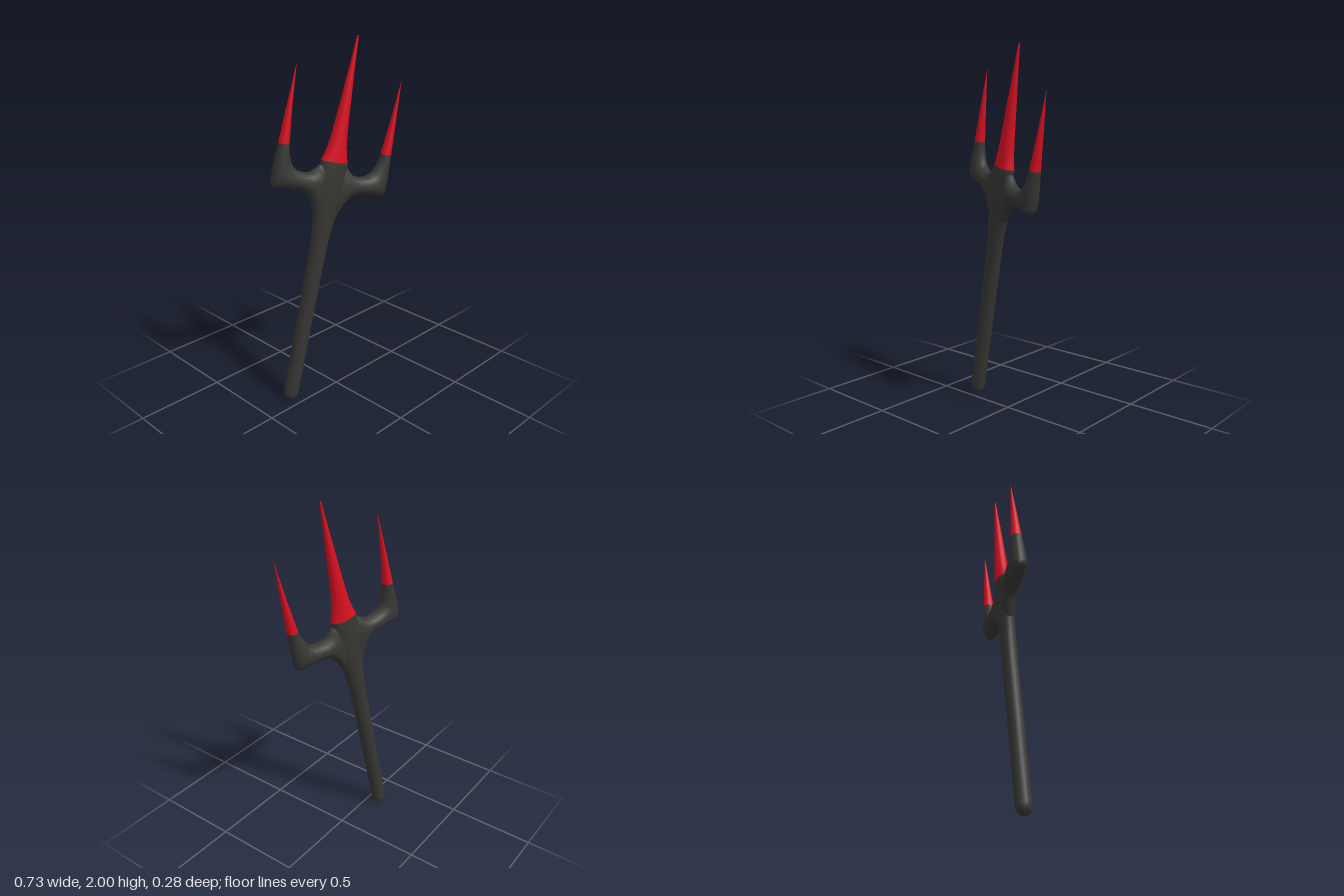
import * as THREE from 'three';

const SIDES = 14;
const dark = new THREE.MeshStandardMaterial({ color: 0x363633 });
const red = new THREE.MeshStandardMaterial({ color: 0xd81020 });

// Skin of elliptical rings; each section is [ax, ay, bx, by, halfDepth],
// where a and b are the two opposite edge points in the plane of the fork.
function loft(name, sections, material) {
  const pos = [], index = [];
  for (const [ax, ay, bx, by, d] of sections) {
    for (let j = 0; j < SIDES; j++) {
      const f = (j / SIDES) * Math.PI * 2, c = Math.cos(f) / 2;
      pos.push((ax + bx) / 2 + (ax - bx) * c, (ay + by) / 2 + (ay - by) * c, d * Math.sin(f));
    }
  }
  for (let i = 0; i < sections.length - 1; i++) {
    for (let j = 0; j < SIDES; j++) {
      const p = i * SIDES + j, q = i * SIDES + (j + 1) % SIDES;
      index.push(p, p + SIDES, q, q, p + SIDES, q + SIDES);
    }
  }
  const geo = new THREE.BufferGeometry();
  geo.setAttribute('position', new THREE.Float32BufferAttribute(pos, 3));
  geo.setIndex(index);
  geo.computeVertexNormals();
  const mesh = new THREE.Mesh(geo, material);
  mesh.name = name;
  return mesh;
}

// Sections centred on the main axis: [height, halfWidth, halfDepth]
const axial = (list) => list.map(([y, r, d]) => [r, y, -r, y, d]);
// Mirrored sections, with the edges swapped to keep the faces outward
const mirror = (list) => list.map(([ax, ay, bx, by, d]) => [-bx, by, -ax, ay, d]);

export function createModel() {
  const model = new THREE.Group();
  model.name = 'trident';

  // Handle with rounded butt, flaring into the hub
  model.add(loft('handle', axial([
    [0, 0.0005, 0.0005], [0.004, 0.018, 0.018], [0.015, 0.031, 0.031], [0.03, 0.039, 0.039],
    [0.05, 0.042, 0.042], [0.45, 0.043, 0.042], [0.85, 0.046, 0.043], [0.98, 0.051, 0.044],
    [1.08, 0.064, 0.046], [1.15, 0.08, 0.048], [1.22, 0.088, 0.05], [1.3, 0.088, 0.05],
    [1.35, 0.085, 0.048], [1.395, 0.077, 0.045],
  ]), dark));

  // Central spike
  model.add(loft('centreSpike', axial([
    [1.395, 0.077, 0.045], [1.43, 0.064, 0.043], [1.48, 0.052, 0.04], [1.55, 0.042, 0.036],
    [1.64, 0.034, 0.031], [1.76, 0.025, 0.024], [1.9, 0.014, 0.014], [2.04, 0.005, 0.005],
    [2.049, 0.0005, 0.0005],
  ]), red));

  // Side arm: out from the hub, around the elbow and up
  const arm = [
    [0.03, 1.06, 0.03, 1.395, 0.04], [0.07, 1.1, 0.07, 1.385, 0.045],
    [0.095, 1.162, 0.095, 1.355, 0.049], [0.125, 1.202, 0.125, 1.328, 0.051],
    [0.165, 1.224, 0.16, 1.321, 0.052], [0.25, 1.231, 0.205, 1.328, 0.052],
    [0.31, 1.228, 0.235, 1.351, 0.05], [0.333, 1.236, 0.247, 1.372, 0.048],
    [0.341, 1.262, 0.256, 1.392, 0.045], [0.34, 1.33, 0.266, 1.418, 0.04],
    [0.337, 1.4, 0.271, 1.44, 0.035], [0.333, 1.46, 0.275, 1.46, 0.031],
  ];
  // Side spike
  const spike = [
    [0.333, 1.46, 0.275, 1.46, 0.031], [0.328, 1.55, 0.284, 1.55, 0.024],
    [0.322, 1.65, 0.293, 1.65, 0.017], [0.315, 1.76, 0.301, 1.76, 0.009],
    [0.3085, 1.866, 0.3075, 1.866, 0.0005],
  ];
  model.add(loft('leftArm', arm, dark), loft('rightArm', mirror(arm), dark));
  model.add(loft('leftSpike', spike, red), loft('rightSpike', mirror(spike), red));

  // Slanted pose
  model.rotation.set(-0.015, -0.328, -0.218);
  model.position.set(-0.305, 0.001, -0.07);

  const root = new THREE.Group();
  root.name = 'model';
  root.add(model);
  return root;
}
